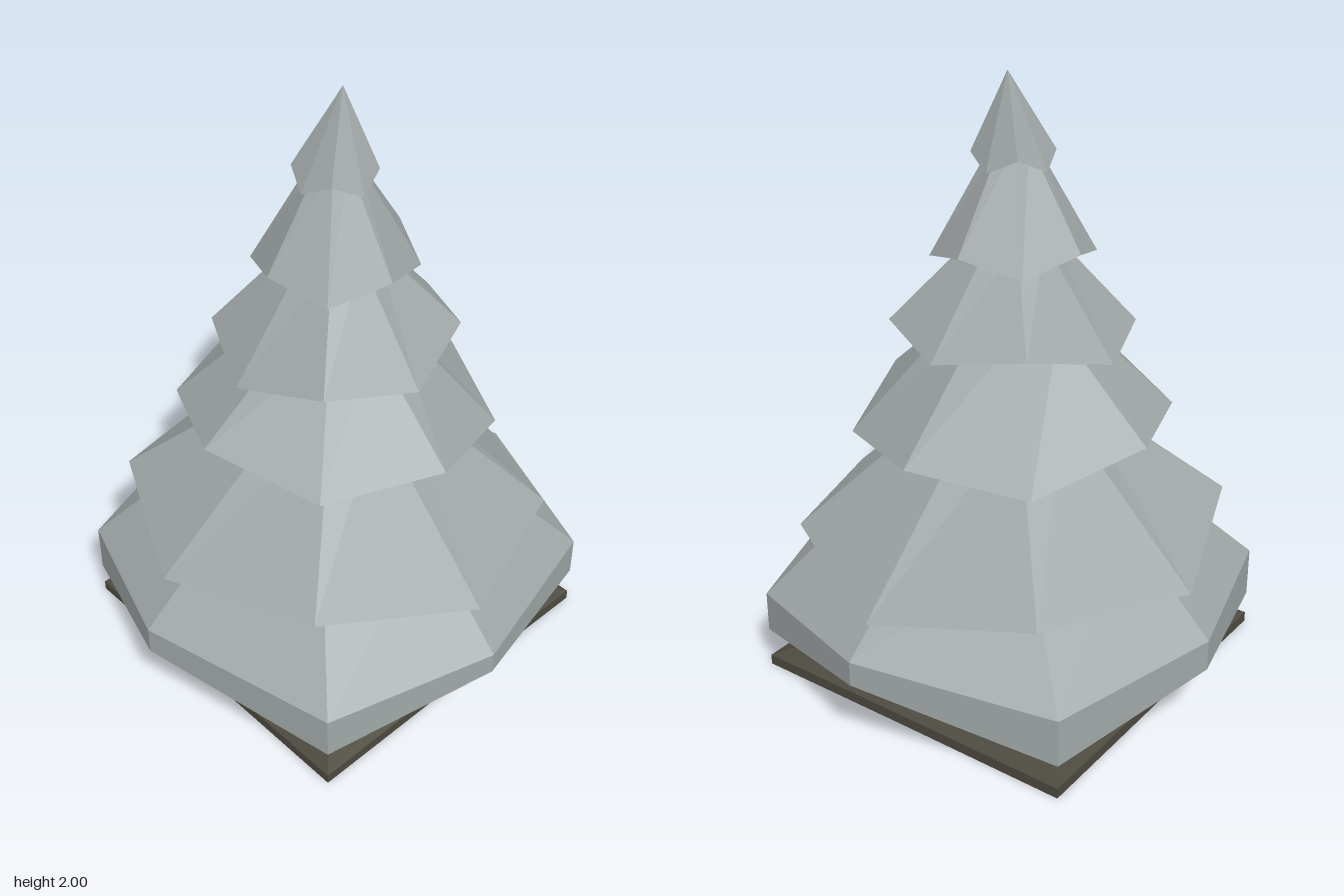
import * as THREE from 'three';

const SIDES = 8;

// One eight-point ring. Even points lie on the axes, odd ones on the diagonals.
// rd: diagonal radius, wave: extra height on diagonals, tiltX/tiltZ: slope, rot: degrees
function ring(r, y, { rd = r, wave = 0, tiltX = 0, tiltZ = 0, rot = 0, rotD = rot, cx = 0 } = {}) {
  const points = [];
  for (let k = 0; k < SIDES; k++) {
    const odd = k % 2 === 1;
    const a = THREE.MathUtils.degToRad(k * 45 + (odd ? rotD : rot));
    const rad = odd ? rd : r;
    const x = rad * Math.cos(a), z = rad * Math.sin(a);
    points.push(new THREE.Vector3(x + cx, y + (odd ? wave : 0) + tiltX * x + tiltZ * z, z));
  }
  return points;
}

// Flat-shaded skin over successive rings, listed from the bottom up the outside
function skin(rings) {
  const pos = [];
  const tri = (a, b, c) => {
    const area = b.clone().sub(a).cross(c.clone().sub(a)).length();
    if (area > 1e-8) for (const p of [a, b, c]) pos.push(p.x, p.y, p.z);
  };
  for (let i = 0; i < rings.length - 1; i++) {
    const lo = rings[i], hi = rings[i + 1];
    for (let k = 0; k < SIDES; k++) {
      const n = (k + 1) % SIDES;
      tri(lo[k], hi[k], lo[n]);
      tri(lo[n], hi[k], hi[n]);
    }
  }
  const geo = new THREE.BufferGeometry();
  geo.setAttribute('position', new THREE.Float32BufferAttribute(pos, 3));
  geo.computeVertexNormals();
  return geo;
}

function part(name, rings, color, side = THREE.DoubleSide) {
  const mesh = new THREE.Mesh(skin(rings), new THREE.MeshStandardMaterial({ color, flatShading: true, side }));
  mesh.name = name;
  return mesh;
}

export function createModel() {
  const group = new THREE.Group();
  group.name = 'firTree';

  // Square stand: low plinth sloping in to an open octagonal rim
  group.add(part('stand', [
    ring(0.585, 0, { rd: 0.83 }),
    ring(0.585, 0.035, { rd: 0.83 }),
    ring(0.49, 0.085, { rd: 0.53, wave: 0.03 }),
  ], 0x4c493f));

  // Wavy ground shell, open underneath
  group.add(part('groundShell', [
    ring(0.485, 0.088, { rd: 0.53, wave: 0.028 }),
    ring(0.475, 0.127, { rd: 0.48, wave: 0.027, tiltX: -0.01, tiltZ: -0.03 }),
    ring(0, 0.135),
  ], 0xcccccc));

  // Leaning hollow trunk
  group.add(part('trunk', [
    ring(0.125, 0.03, { cx: -0.045, rot: 20 }),
    ring(0.08, 0.32, { cx: -0.005, rot: 20 }),
  ], 0xb8986a));

  // Branch tiers: [rim radius, rim height, diagonal wave, tilt, top radius, top height]
  const tiers = [
    [0.705, 0.48, 0.06, -0.07, 0.2, 0.945],
    [0.52, 0.922, -0.055, -0.078, 0.18, 1.225],
    [0.39, 1.157, 0.05, 0.06, 0.12, 1.49],
    [0.26, 1.478, -0.05, 0, 0.06, 1.785],
    [0.13, 1.708, 0.045, 0, 0, 2],
  ];
  const rot = 3.4;
  const skirt = { rd: 0.83, rot: 3.6, rotD: 0 };

  // Thick lowest tier with a vertical rim
  const foliage = [
    ring(0.07, 0.3),
    ring(0.78, 0.248, { ...skirt, wave: -0.12, tiltZ: 0.018 }),
    ring(0.78, 0.338, { ...skirt, wave: -0.055, tiltX: -0.008 }),
    ring(0.45, 0.635, { rot }),
  ];
  // Each upper tier flares out from the top of the one below, then narrows
  tiers.forEach(([r, y, wave, tiltX, topR, topY]) => {
    foliage.push(ring(r, y, { wave, tiltX, rot }));
    foliage.push(ring(topR, topY, { rot, cx: topR === 0 ? 0.03 : 0 }));
  });
  group.add(part('foliage', foliage, 0xa0a6a6, THREE.FrontSide));

  return group;
}
